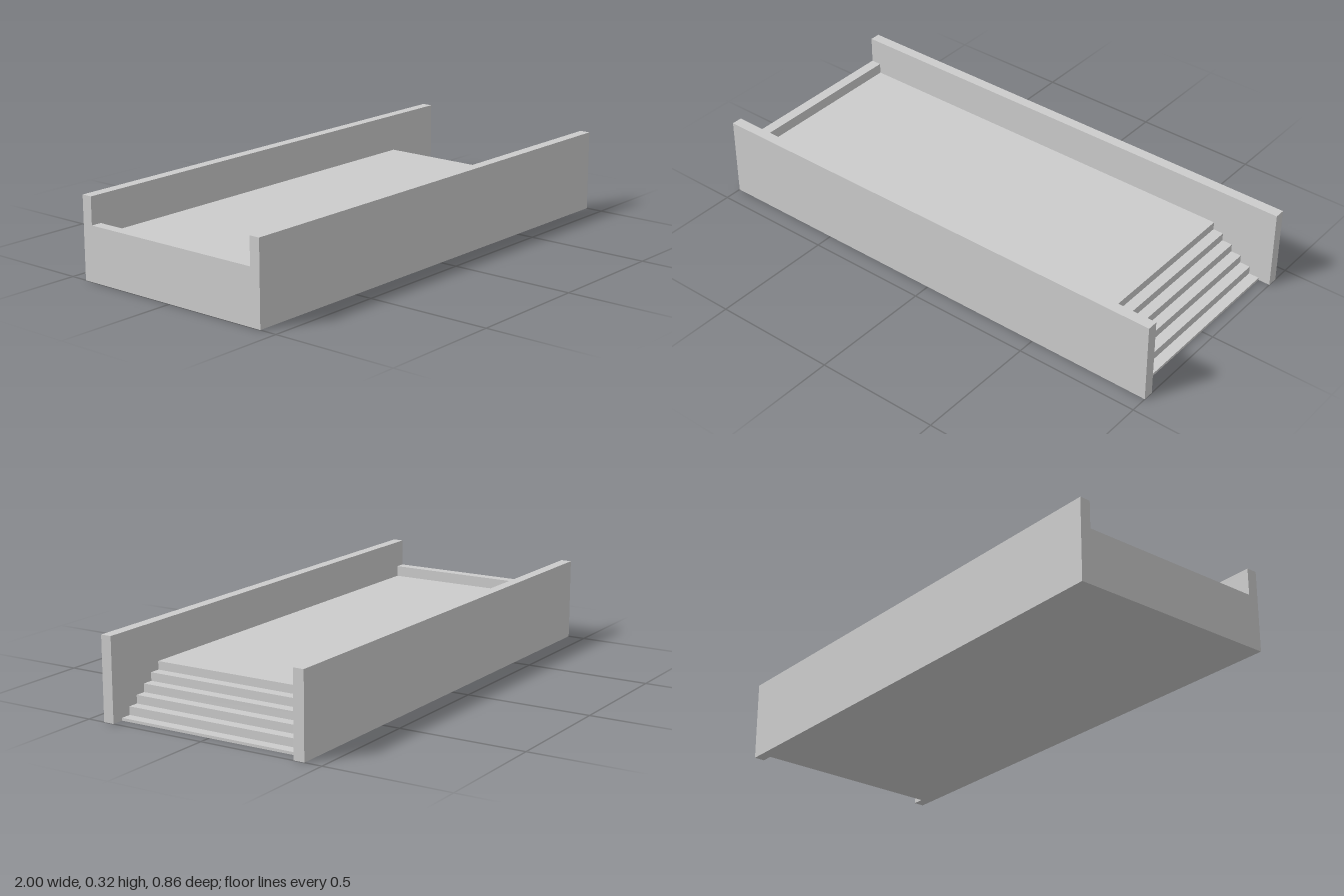
import * as THREE from 'three';

const material = new THREE.MeshStandardMaterial({ color: 0xcccccc, flatShading: true });
const HALF_WIDTH = 0.43, WALL = 0.043, WALL_HEIGHT = 0.323;
const INNER = HALF_WIDTH - WALL;

export function createModel() {
  const model = new THREE.Group();
  model.name = 'steppedPlatform';

  // Deck with a raised end curb and a flight of steps, as one side profile
  const profile = new THREE.Shape();
  profile.moveTo(-1, 0);
  const steps = 6, going = 0.043, rise = 0.0323, deckEnd = 0.737, deckHeight = 0.172;
  const lastX = deckEnd + (steps - 1) * going;
  profile.lineTo(lastX, 0);
  for (let i = steps - 1; i >= 0; i--) {
    const x = deckEnd + i * going, y = deckHeight - i * rise;
    profile.lineTo(x, y);
    if (i > 0) profile.lineTo(x - going, y);
  }
  profile.lineTo(-0.957, deckHeight);
  profile.lineTo(-0.957, 0.215);
  profile.lineTo(-1, 0.215);
  profile.closePath();
  const deckGeometry = new THREE.ExtrudeGeometry(profile, { depth: 2 * INNER, bevelEnabled: false });
  deckGeometry.translate(0, 0, -INNER);
  const deck = new THREE.Mesh(deckGeometry, material);
  deck.name = 'deckAndSteps';
  model.add(deck);

  // Tall side walls
  for (const [name, side] of [['frontWall', 1], ['backWall', -1]]) {
    const wall = new THREE.Mesh(new THREE.BoxGeometry(2, WALL_HEIGHT, WALL), material);
    wall.name = name;
    wall.position.set(0, WALL_HEIGHT / 2, side * (HALF_WIDTH - WALL / 2));
    model.add(wall);
  }
  return model;
}
